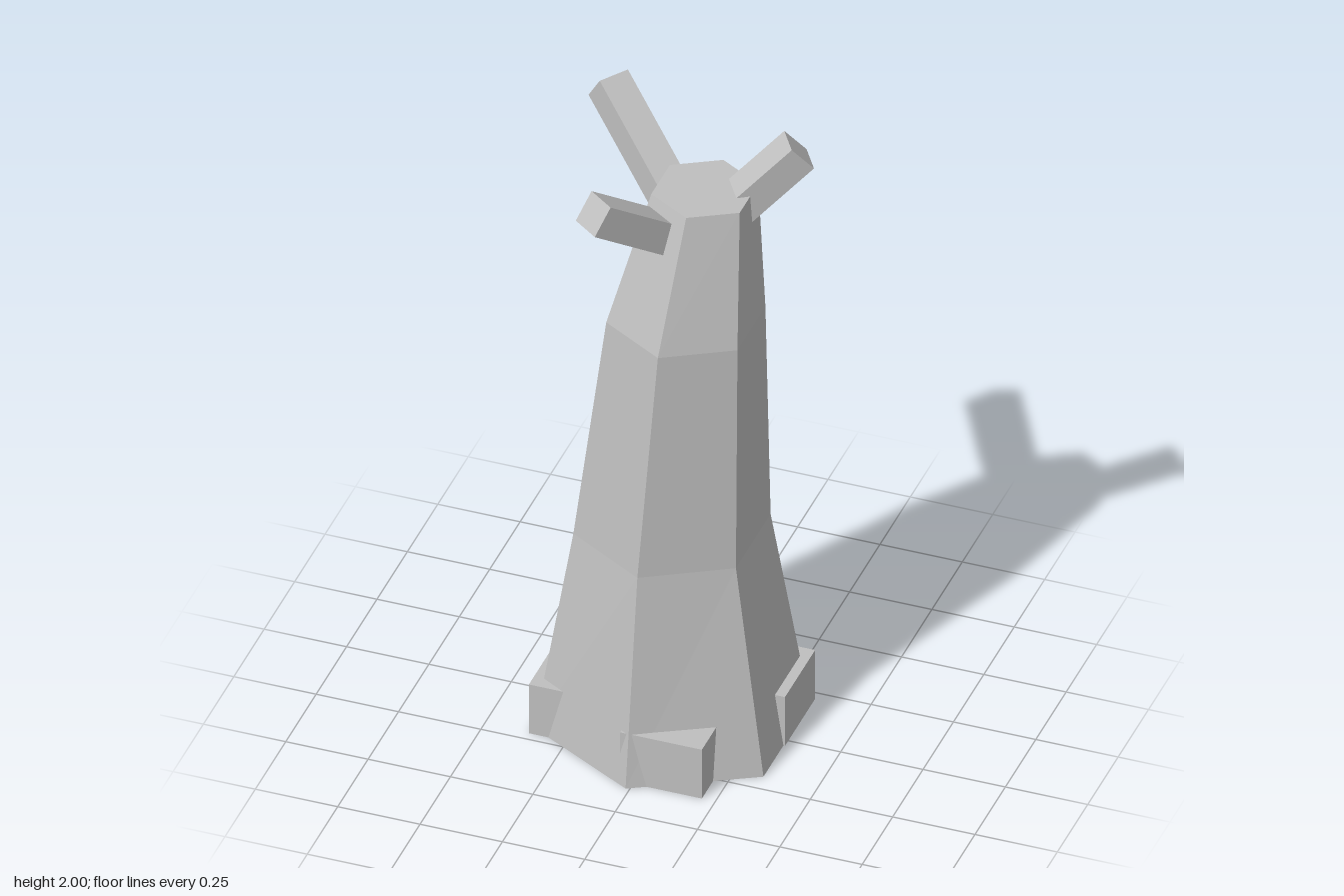
import * as THREE from 'three';

export function createModel() {
  const group = new THREE.Group();
  const bark = new THREE.MeshStandardMaterial({ color: 0xbfbfbf, flatShading: true });
  bark.name = 'grey bark';

  const add = (geometry, name) => {
    const mesh = new THREE.Mesh(geometry, bark);
    mesh.name = name;
    group.add(mesh);
    return mesh;
  };

  // Trunk: six-sided rings, each with height, centre and radii, leaning as they rise
  const rings = [
    { y: 0, x: -0.012, z: 0, rx: 0.402, rz: 0.382 },
    { y: 0.67, x: -0.012, z: 0, rx: 0.285, rz: 0.285 },
    { y: 1.41, x: 0.03, z: 0, rx: 0.23, rz: 0.23 },
    { y: 1.83, x: 0.072, z: -0.042, rx: 0.155, rz: 0.153 },
  ];
  const sides = 6;
  const corner = (r, k) => {
    const a = (k / sides) * Math.PI * 2;
    return [r.x + r.rx * Math.sin(a), r.y, r.z + r.rz * Math.cos(a)];
  };
  const points = [];
  const first = rings[0];
  const last = rings[rings.length - 1];
  for (let k = 0; k < sides; k++) {
    for (let i = 0; i < rings.length - 1; i++) {
      const a = corner(rings[i], k);
      const b = corner(rings[i], k + 1);
      const c = corner(rings[i + 1], k + 1);
      const d = corner(rings[i + 1], k);
      points.push(...a, ...b, ...c, ...a, ...c, ...d);
    }
    // Top and bottom caps
    points.push(last.x, last.y, last.z, ...corner(last, k), ...corner(last, k + 1));
    points.push(first.x, first.y, first.z, ...corner(first, k + 1), ...corner(first, k));
  }
  const trunk = new THREE.BufferGeometry();
  trunk.setAttribute('position', new THREE.Float32BufferAttribute(points, 3));
  trunk.computeVertexNormals();
  add(trunk, 'trunk');

  // Branches: square bars running back from the tip into the trunk
  const branches = [
    { name: 'rightBackBranch', tip: [-0.305, 1.96, -0.269], dir: [-0.82, -0.57], pitch: 34.6, length: 0.42 },
    { name: 'leftBackBranch', tip: [0.309, 1.936, -0.176], dir: [0.84, -0.54], pitch: 41.5, length: 0.36 },
    { name: 'frontBranch', tip: [-0.156, 1.885, 0.258], dir: [-0.59, 0.806], pitch: 33.5, length: 0.37 },
  ];
  for (const { name, tip, dir, pitch, length } of branches) {
    const bar = new THREE.BoxGeometry(0.098, 0.098, length).translate(0, 0, -length / 2);
    const mesh = add(bar, name);
    mesh.position.set(...tip);
    mesh.rotation.set(-THREE.MathUtils.degToRad(pitch), Math.atan2(dir[0], dir[1]), 0, 'YXZ');
  }

  // Roots: four blocks in a pinwheel around the foot
  ['frontRoot', 'leftRoot', 'backRoot', 'rightRoot'].forEach((name, i) => {
    const block = new THREE.BoxGeometry(0.248, 0.17, 0.25).translate(0.097, 0.085, 0.228);
    const mesh = add(block, name);
    mesh.position.x = -0.012;
    mesh.rotation.y = (i * Math.PI) / 2;
  });

  return group;
}
